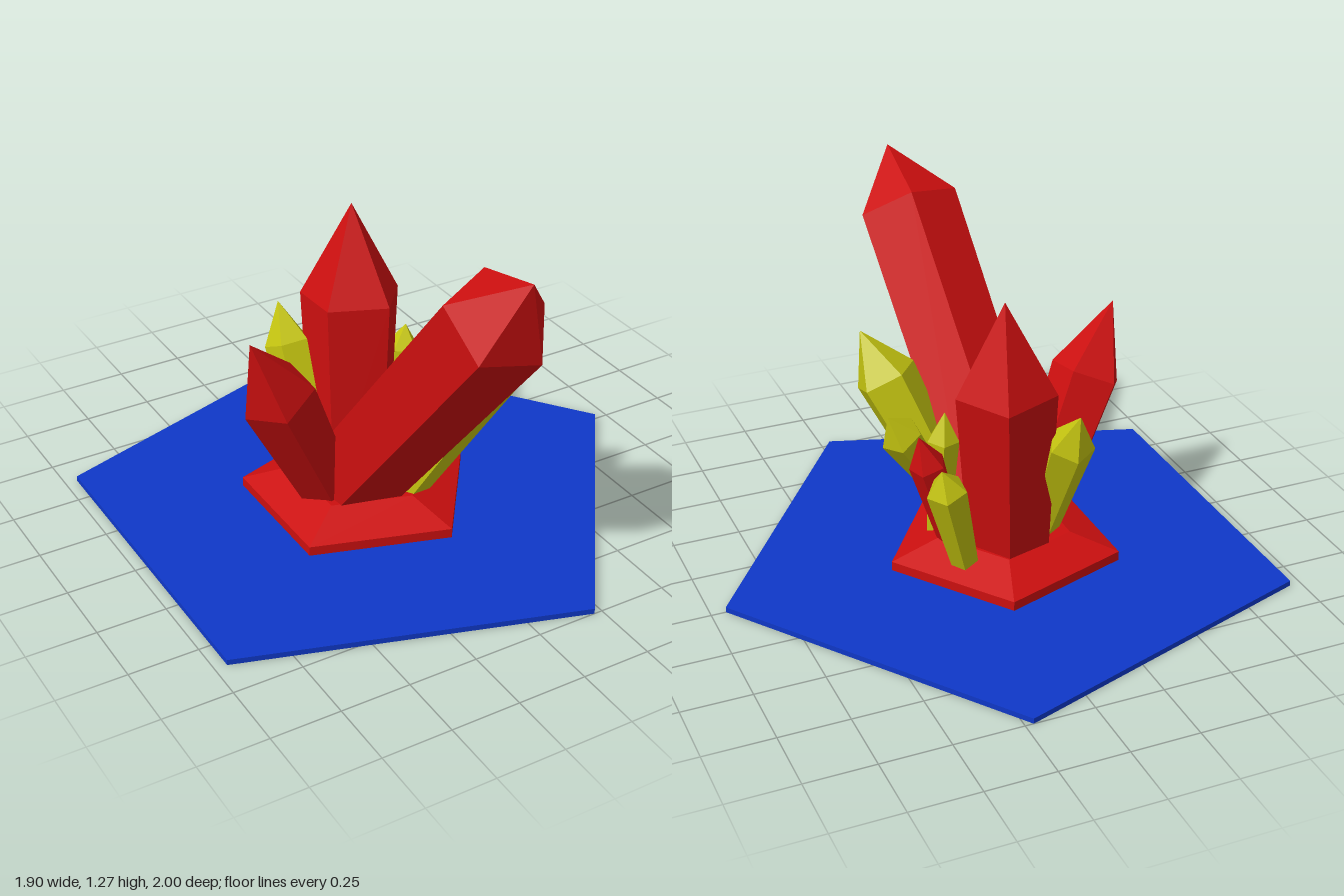
import * as THREE from 'three';

const SIDES = 5;
const material = (color) => new THREE.MeshStandardMaterial({ color, flatShading: true });
const red = material(0xcc0f0f);
const yellow = material(0xc4c410);
const blue = material(0x0f38c8);

// Five-sided slab with one corner pointing along +x
function slab(name, mat, rTop, rBottom, y0, y1) {
  const geo = new THREE.CylinderGeometry(rTop, rBottom, y1 - y0, SIDES);
  geo.rotateY(Math.PI / 2);
  const mesh = new THREE.Mesh(geo, mat);
  mesh.name = name;
  mesh.position.set(-0.105, (y0 + y1) / 2, 0);
  return mesh;
}

// Pointed crystal: widens from base to a shoulder ring, then closes to the tip.
// "toward" is a point that the first shoulder corner is turned to.
function crystal({ name, mat, base, tip, rBase, rTop, shoulder, toward }) {
  const a = new THREE.Vector3(...base);
  const b = new THREE.Vector3(...tip);
  const axis = b.clone().sub(a).normalize();
  const u = new THREE.Vector3(...toward).sub(a);
  u.addScaledVector(axis, -u.dot(axis)).normalize();
  const w = axis.clone().cross(u);
  const mid = a.clone().lerp(b, shoulder);
  const corner = (centre, r, i) => {
    const t = (i / SIDES) * Math.PI * 2;
    return centre.clone().addScaledVector(u, r * Math.cos(t)).addScaledVector(w, r * Math.sin(t));
  };
  const points = [];
  for (let i = 0; i < SIDES; i++) {
    const p = corner(a, rBase, i), q = corner(a, rBase, i + 1);
    const s = corner(mid, rTop, i), t = corner(mid, rTop, i + 1);
    points.push(p, q, t, p, t, s, s, t, b, a, q, p); // side, point, underside
  }
  const geo = new THREE.BufferGeometry().setFromPoints(points);
  geo.computeVertexNormals();
  const mesh = new THREE.Mesh(geo, mat);
  mesh.name = name;
  return mesh;
}

export function createModel() {
  const group = new THREE.Group();
  group.name = 'crystalCluster';

  // Ground plate and stepped rock base
  group.add(
    slab('groundPlate', blue, 1.0515, 1.0515, 0, 0.02),
    slab('clusterBase', red, 0.432, 0.432, 0.02, 0.055),
    slab('clusterBaseTop', red, 0.25, 0.432, 0.055, 0.115),
  );

  const crystals = [
    // Large red crystals
    { name: 'leaningCrystal', mat: red, base: [-0.145, 0.14, 0.03], tip: [-0.03, 1.275, 0.925],
      rBase: 0.18, rTop: 0.19, shoulder: 0.83, toward: [-0.01, 1.195, 0.63] },
    { name: 'backCrystal', mat: red, base: [-0.09, 0.06, -0.085], tip: [-0.03, 1.09, -0.18],
      rBase: 0.15, rTop: 0.185, shoulder: 0.67, toward: [0.3, 0.7, -0.13] },
    { name: 'rightCrystal', mat: red, base: [-0.25, 0.1, 0.02], tip: [-0.605, 0.855, 0.155],
      rBase: 0.1, rTop: 0.135, shoulder: 0.67, toward: [-0.605, 0.55, 0.11] },
    { name: 'smallRedCrystal', mat: red, base: [0.09, 0.08, -0.01], tip: [0.23, 0.56, -0.035],
      rBase: 0.05, rTop: 0.068, shoulder: 0.75, toward: [0.18, 0.4, 0.06] },
    // Yellow crystals
    { name: 'frontYellowCrystal', mat: yellow, base: [-0.01, 0.08, 0.14], tip: [0.28, 0.785, 0.41],
      rBase: 0.075, rTop: 0.12, shoulder: 0.76, toward: [0.19, 0.64, 0.455] },
    { name: 'slantedYellowCrystal', mat: yellow, base: [0.04, 0.17, 0.18], tip: [0.305, 0.6, 0.07],
      rBase: 0.045, rTop: 0.078, shoulder: 0.78, toward: [0.29, 0.48, 0.1] },
    { name: 'uprightYellowCrystal', mat: yellow, base: [0.11, 0.07, 0.1], tip: [0.09, 0.58, 0.07],
      rBase: 0.042, rTop: 0.06, shoulder: 0.78, toward: [0.3, 0.4, 0.08] },
    { name: 'leftYellowCrystal', mat: yellow, base: [0.1, 0.08, -0.14], tip: [0.22, 0.52, -0.225],
      rBase: 0.05, rTop: 0.074, shoulder: 0.8, toward: [0.24, 0.4, -0.2] },
    { name: 'backYellowCrystal', mat: yellow, base: [-0.23, 0.07, -0.05], tip: [-0.245, 0.69, -0.34],
      rBase: 0.06, rTop: 0.085, shoulder: 0.78, toward: [-0.23, 0.5, -0.37] },
  ];
  for (const c of crystals) group.add(crystal(c));
  return group;
}
